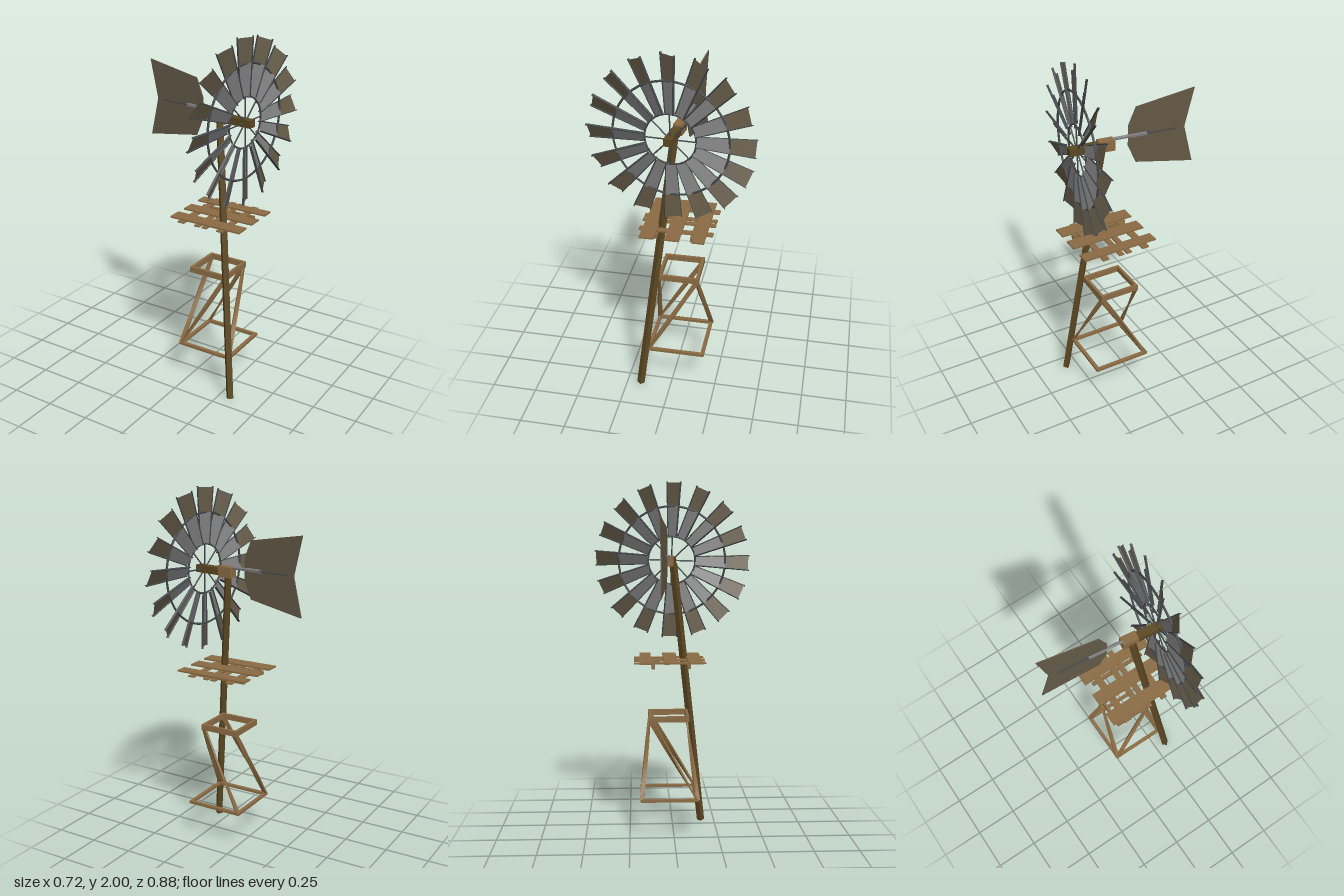
import * as THREE from 'three';

const mat = (name, color, side = THREE.FrontSide) => {
  const m = new THREE.MeshStandardMaterial({ color, side });
  m.name = name;
  return m;
};

export function createModel() {
  const wood = mat('plank wood', 0x8a6b43);
  const darkWood = mat('dark timber', 0x5c4822);
  const steel = mat('blade steel', 0x7c7c7c, THREE.DoubleSide);
  const weathered = mat('weathered metal', 0x625845, THREE.DoubleSide);
  const iron = mat('dark iron', 0x44474b);

  const model = new THREE.Group();
  model.name = 'windpump';

  const add = (parent, name, geometry, material, x = 0, y = 0, z = 0) => {
    const mesh = new THREE.Mesh(geometry, material);
    mesh.name = name;
    mesh.position.set(x, y, z);
    parent.add(mesh);
    return mesh;
  };
  const box = (parent, name, material, x0, x1, y0, y1, z0, z1) =>
    add(parent, name, new THREE.BoxGeometry(x1 - x0, y1 - y0, z1 - z0), material,
      (x0 + x1) / 2, (y0 + y1) / 2, (z0 + z1) / 2);
  // Timber running from a to b, its section turning by twist along the way
  const beam = (name, material, a, b, w, h, twist = 0) => {
    const p = new THREE.Vector3(...a), q = new THREE.Vector3(...b);
    const length = p.distanceTo(q);
    const g = new THREE.BoxGeometry(w, h, length, 1, 1, twist ? 8 : 1);
    const pos = g.attributes.position;
    const v = new THREE.Vector3(), axis = new THREE.Vector3(0, 0, 1);
    for (let i = 0; i < pos.count; i++) {
      v.fromBufferAttribute(pos, i);
      v.applyAxisAngle(axis, twist * (v.z / length + 0.5));
      pos.setXYZ(i, v.x, v.y, v.z);
    }
    g.computeVertexNormals();
    const mesh = add(model, name, g, material);
    mesh.position.copy(p).lerp(q, 0.5);
    mesh.lookAt(q);
  };

  // Single leaning leg
  beam('leg', darkWood, [0.318, 0.004, 0.172], [0.133, 1.545, 0], 0.031, 0.031);

  // Lower frame: two square rings
  const ring = (name, x0, x1, z0, z1, y0, y1, t) => {
    for (const [a, b] of [[x0, x0 + t], [x1 - t, x1]]) box(model, name, wood, a, b, y0, y1, z0, z1);
    for (const [a, b] of [[z0, z0 + t], [z1 - t, z1]]) box(model, name, wood, x0 + t, x1 - t, y0, y1, a, b);
  };
  ring('upperRing', 0.0, 0.228, -0.142, 0.085, 0.668, 0.7, 0.016);
  ring('lowerRing', -0.04, 0.29, -0.188, 0.138, 0.22, 0.235, 0.02);

  // One twisted diagonal brace on each side of the frame
  const low = { x: [-0.033, 0.281], z: [-0.181, 0.13] };
  const high = { x: [0.009, 0.219], z: [-0.133, 0.076] };
  const braces = [[0, 1, 1, 1], [0, 0, 1, 0], [0, 1, 0, 0], [1, 1, 1, 0]];
  for (const [lx, lz, hx, hz] of braces) {
    beam('brace', wood, [low.x[lx], 0.228, low.z[lz]], [high.x[hx], 0.675, high.z[hz]], 0.024, 0.011, Math.PI / 2);
  }

  // Platform: bearers, joists and deck planks
  for (const z of [-0.115, 0.08]) box(model, 'bearer', wood, -0.038, 0.287, 0.973, 0.997, z - 0.009, z + 0.009);
  for (const [a, b] of [[-0.02, 0.021], [0.084, 0.116], [0.131, 0.161], [0.221, 0.257]]) {
    box(model, 'joist', wood, a, b, 0.997, 1.004, -0.222, 0.177);
  }
  for (const [a, b] of [[-0.19, -0.126], [-0.057, 0.021], [0.076, 0.156]]) {
    box(model, 'deckPlank', wood, -0.08, 0.348, 1.004, 1.013, a, b);
  }

  // Turning head, with the wheel facing its local +x
  const head = new THREE.Group();
  head.name = 'head';
  head.position.set(0.282, 1.555, -0.003);
  head.rotation.y = -0.128;
  model.add(head);
  box(head, 'gearBlock', wood, -0.198, -0.112, -0.028, 0.03, -0.024, 0.024);
  box(head, 'driveShaft', darkWood, -0.112, 0.046, -0.02, 0.02, -0.022, 0.022);

  // Tail boom, flat rib and swallow-tailed vane
  const boom = add(head, 'tailBoom', new THREE.CylinderGeometry(0.009, 0.009, 0.19, 8), steel, -0.285, 0.027, 0);
  boom.rotation.z = Math.PI / 2;
  box(head, 'vaneRib', iron, -0.55, -0.37, 0.025, 0.031, -0.009, 0.009);
  for (const s of [-1, 1]) box(head, 'vaneClamp', steel, -0.38, -0.28, 0.022, 0.034, s * 0.009 - 0.003, s * 0.009 + 0.003);
  const half = [[-0.277, 0.01], [-0.277, 0.055], [-0.32, 0.157], [-0.645, 0.212], [-0.594, 0], [-0.4, 0], [-0.385, 0.01]];
  for (const s of [1, -1]) {
    const shape = new THREE.Shape(half.map(([x, y]) => new THREE.Vector2(x, y * s)));
    const g = new THREE.ExtrudeGeometry(shape, { depth: 0.006, bevelEnabled: false });
    add(head, 'tailVane', g, weathered, 0, 0.028, -0.003);
  }

  // Wheel
  const wheel = new THREE.Group();
  wheel.name = 'wheel';
  wheel.rotation.x = 0.03;
  head.add(wheel);
  for (const [r, t] of [[0.135, 0.005], [0.306, 0.006]]) {
    add(wheel, 'wheelRing', new THREE.TorusGeometry(r, t, 6, 48), iron).rotation.y = Math.PI / 2;
  }
  for (let i = 0; i < 8; i++) {
    const a = (i / 8) * Math.PI * 2;
    const spoke = add(wheel, 'spoke', new THREE.CylinderGeometry(0.004, 0.004, 0.135, 6), iron,
      0, Math.cos(a) * 0.0675, Math.sin(a) * 0.0675);
    spoke.rotation.x = a;
  }

  // Blades: tapered flat sheets with a grey inner part and a weathered tip, edged by iron flanges
  const width = r => 0.054 + (r - 0.135) * 0.115;
  const sheet = (r0, r1) => {
    const g = new THREE.PlaneGeometry(1, 1);
    const p = g.attributes.position;
    for (let i = 0; i < p.count; i++) {
      const r = p.getY(i) > 0 ? r1 : r0;
      p.setXY(i, p.getX(i) * width(r), r);
    }
    return g.rotateY(Math.PI / 2);
  };
  const inner = sheet(0.135, 0.306), tip = sheet(0.306, 0.437);
  const flange = new THREE.BoxGeometry(0.012, 0.308, 0.004);
  for (let i = 0; i < 16; i++) {
    const arm = new THREE.Group();
    arm.name = 'bladeArm';
    arm.rotation.x = (i / 16) * Math.PI * 2;
    wheel.add(arm);
    const blade = new THREE.Group();
    blade.name = 'blade';
    blade.rotation.y = -0.45;
    arm.add(blade);
    add(blade, 'bladeInner', inner, steel);
    add(blade, 'bladeTip', tip, weathered);
    for (const s of [-1, 1]) {
      const edge = add(blade, 'bladeFlange', flange, iron, 0, 0.289, s * width(0.289) / 2);
      edge.rotation.x = s * 0.0575;
    }
  }
  return model;
}
